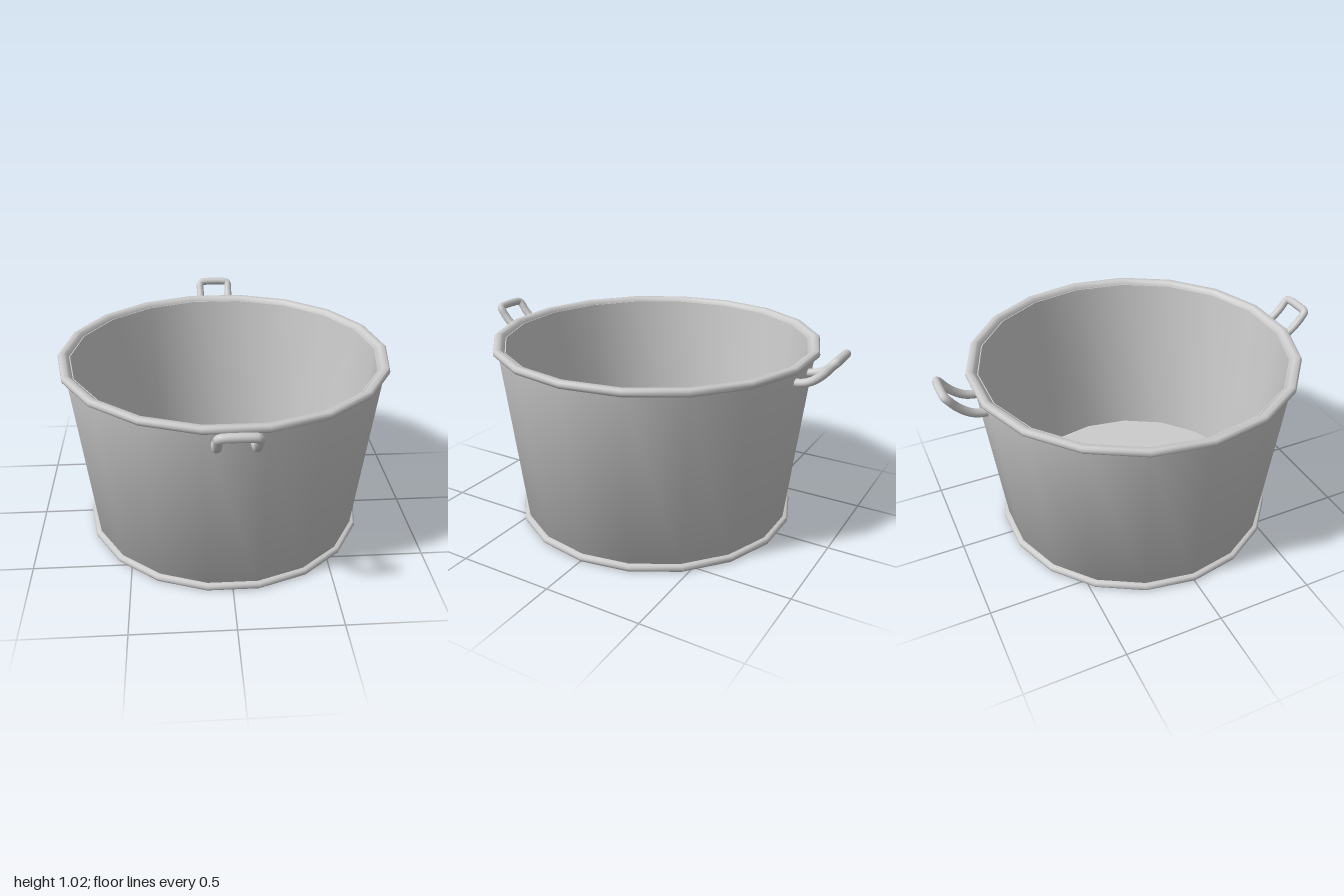
import * as THREE from 'three';
import { toCreasedNormals } from 'three/addons/utils/BufferGeometryUtils.js';

const material = new THREE.MeshStandardMaterial({ color: 0xcccccc });
const SIDES = 18;

// Faceted ring or shell with a corner on the x axis
function lathe(name, profile) {
  const points = profile.map(([r, y]) => new THREE.Vector2(r, y));
  const geometry = new THREE.LatheGeometry(points, SIDES, Math.PI / 2);
  const mesh = new THREE.Mesh(toCreasedNormals(geometry, THREE.MathUtils.degToRad(50)), material);
  mesh.name = name;
  return mesh;
}

// Bent handle: two arms sweeping out and up to a crossbar
function handle(name) {
  const half = [
    [0.085, 0.87, 0.78], [0.085, 0.875, 0.825], [0.085, 0.888, 0.865], [0.085, 0.915, 0.905],
    [0.085, 0.95, 0.94], [0.085, 0.985, 0.966], [0.08, 0.996, 0.976], [0.068, 1.0, 0.979],
  ];
  const points = half.map(p => new THREE.Vector3(...p));
  const mirrored = points.map(p => new THREE.Vector3(-p.x, p.y, p.z)).reverse();
  const curve = new THREE.CatmullRomCurve3([...points, ...mirrored]);
  const mesh = new THREE.Mesh(new THREE.TubeGeometry(curve, 72, 0.021, 12), material);
  mesh.name = name;
  return mesh;
}

export function createModel() {
  const tub = new THREE.Group();
  tub.name = 'tub';

  // Tapered wall with its inner face and floor
  tub.add(lathe('wallAndFloor', [
    [0.7, 0.01], [0.713, 0.02], [0.817, 0.945], [0.78, 0.945], [0.685, 0.03], [0, 0.03],
  ]));

  // Rolled rim
  tub.add(lathe('rim', [
    [0.78, 0.93], [0.832, 0.93], [0.839, 0.936], [0.842, 0.948], [0.839, 0.96], [0.832, 0.966],
    [0.808, 0.966], [0.801, 0.96], [0.78, 0.94], [0.78, 0.93],
  ]));

  // Foot band and underside
  tub.add(lathe('base', [
    [0, 0], [0.732, 0], [0.738, 0.006], [0.741, 0.016], [0.738, 0.027], [0.732, 0.033], [0.7, 0.033],
  ]));

  // Handles front and back
  const front = handle('frontHandle');
  const back = handle('backHandle');
  back.rotation.y = Math.PI;
  tub.add(front, back);

  return tub;
}
